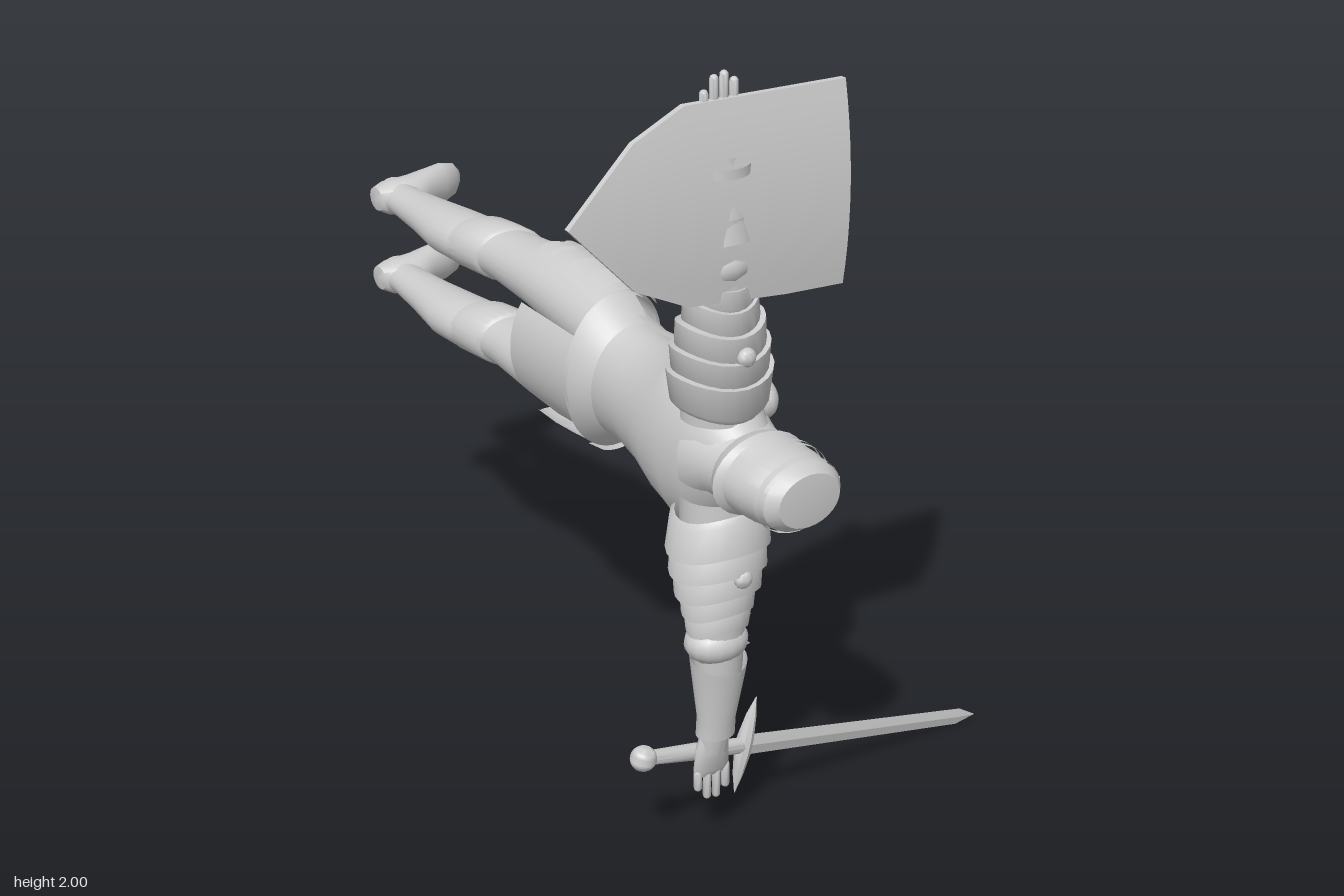
import * as THREE from 'three';
import { toCreasedNormals } from 'three/addons/utils/BufferGeometryUtils.js';

const material = new THREE.MeshStandardMaterial({ color: 0xcccccc, side: THREE.DoubleSide });

// Skin over elliptical rings. Row: [position on axis, centre1, centre2, radius1, radius2].
// Axis z uses (x, y) rings, axis y uses (x, z), axis x uses (y, z).
function loft(axis, rows, { n = 24, a0 = 0, a1 = Math.PI * 2, warp = () => 0 } = {}) {
  const pos = [], idx = [];
  rows.forEach(([t, c1, c2, r1, r2], j) => {
    for (let i = 0; i <= n; i++) {
      const a = a0 + (a1 - a0) * i / n;
      const u = c1 + r1 * Math.cos(a), w = r2 * Math.sin(a);
      const p = t + warp(a, j / (rows.length - 1));
      if (axis === 'z') pos.push(u, c2 + w, p);
      else if (axis === 'y') pos.push(u, p, c2 - w);
      else pos.push(p, u, c2 + w);
      if (i < n && j < rows.length - 1) {
        const k = j * (n + 1) + i, m = k + n + 1;
        idx.push(k, k + 1, m, k + 1, m + 1, m);
      }
    }
  });
  const g = new THREE.BufferGeometry();
  g.setAttribute('position', new THREE.Float32BufferAttribute(pos, 3));
  g.setIndex(idx);
  return g;
}

function mirrorY(geometry) {
  const g = geometry.index ? geometry.toNonIndexed() : geometry.clone();
  const p = g.attributes.position, v = new THREE.Vector3(), w = new THREE.Vector3();
  for (let i = 0; i < p.count; i += 3) {
    v.fromBufferAttribute(p, i + 1); w.fromBufferAttribute(p, i + 2);
    p.setXYZ(i + 1, w.x, w.y, w.z); p.setXYZ(i + 2, v.x, v.y, v.z);
  }
  for (let i = 0; i < p.count; i++) p.setY(i, -p.getY(i));
  return g;
}

function add(group, name, geometry, crease = 0.7) {
  const mesh = new THREE.Mesh(toCreasedNormals(geometry, crease), material);
  mesh.name = name;
  group.add(mesh);
  return mesh;
}

function pair(group, name, geometry, crease) {
  add(group, name + 'Left', geometry, crease);
  add(group, name + 'Right', mirrorY(geometry), crease);
}

const ball = (x, y, z, sx, sy, sz) => new THREE.SphereGeometry(1, 16, 12).scale(sx, sy, sz).translate(x, y, z);
const box = (x, y, z, sx, sy, sz) => new THREE.BoxGeometry(sx, sy, sz).translate(x, y, z);

// Torso, armour plates and cloth
function buildBody(g) {
  add(g, 'torso', loft('z', [
    [0.0, -0.165, 0, 0.001, 0.001], [0.01, -0.165, 0, 0.09, 0.15], [0.08, -0.17, 0, 0.115, 0.19], [0.15, -0.175, 0, 0.125, 0.18],
    [0.2, -0.18, 0, 0.12, 0.15], [0.3, -0.185, 0, 0.127, 0.145], [0.4, -0.19, 0, 0.14, 0.16],
    [0.48, -0.195, 0, 0.152, 0.2], [0.55, -0.2, 0, 0.145, 0.235], [0.62, -0.205, 0, 0.125, 0.215],
    [0.68, -0.21, 0, 0.1, 0.15], [0.75, -0.21, 0, 0.075, 0.08]], { n: 36 }));
  add(g, 'breastplate', loft('z', [
    [0.19, -0.18, 0, 0.14, 0.165], [0.26, -0.18, 0, 0.135, 0.152], [0.4, -0.19, 0, 0.152, 0.168],
    [0.48, -0.195, 0, 0.166, 0.205], [0.58, -0.2, 0, 0.145, 0.22]],
  { a0: -1.4, a1: 1.4, n: 28, warp: a => -0.09 * (1 - Math.abs(a) / 1.4) }));
  // Flared belt rim with its rear point
  add(g, 'beltRim', loft('z', [[0.13, -0.18, 0, 0.15, 0.205], [0.17, -0.18, 0, 0.142, 0.18], [0.21, -0.18, 0, 0.124, 0.15]],
    { a0: 1.2, a1: Math.PI * 2 - 1.2, n: 28 }));
  add(g, 'frontCloth', box(-0.052, 0, 0, 0.008, 0.22, 0.22));
  add(g, 'backCloth', loft('z', [[-0.12, -0.2, 0, 0.13, 0.17], [0.14, -0.2, 0, 0.13, 0.17]],
    { a0: Math.PI - 0.75, a1: Math.PI + 0.75, n: 12 }));
  add(g, 'gorget', loft('z', [[0.62, -0.205, 0, 0.13, 0.15], [0.69, -0.205, 0, 0.115, 0.1], [0.74, -0.205, 0, 0.11, 0.09]]));
  pair(g, 'collarPlate', ball(-0.1, 0.1, 0.61, 0.04, 0.055, 0.065));
}

// Tall flat-topped helmet
function buildHelmet(g) {
  add(g, 'helmet', loft('z', [
    [0.7, -0.205, 0, 0.08, 0.065], [0.74, -0.205, 0, 0.115, 0.09], [0.775, -0.21, 0, 0.132, 0.102],
    [0.79, -0.205, 0, 0.118, 0.095], [0.85, -0.203, 0, 0.118, 0.093], [0.925, -0.2, 0, 0.108, 0.083],
    [0.95, -0.197, 0, 0.085, 0.066], [0.958, -0.195, 0, 0.001, 0.001]], { n: 28 }), 0.6);
  add(g, 'crownBand', loft('z', [[0.9, -0.202, 0, 0.114, 0.09], [0.918, -0.202, 0, 0.113, 0.089]]));
  add(g, 'visorBand', loft('z', [[0.85, -0.203, 0, 0.126, 0.101], [0.862, -0.203, 0, 0.125, 0.1]], { a0: -1.3, a1: 1.3 }));
  add(g, 'visorBandLower', loft('z', [[0.825, -0.203, 0, 0.126, 0.101], [0.837, -0.203, 0, 0.126, 0.101]], { a0: -1.3, a1: 1.3 }));
  add(g, 'nosePlate', box(-0.085, 0, 0.845, 0.014, 0.018, 0.12));
}

// One arm, stretched out sideways, and its mirror
function buildArms(g) {
  pair(g, 'arm', loft('y', [
    [0.1, -0.22, 0.63, 0.1, 0.09], [0.25, -0.23, 0.64, 0.09, 0.08], [0.38, -0.235, 0.648, 0.075, 0.065],
    [0.48, -0.235, 0.65, 0.066, 0.06], [0.56, -0.235, 0.655, 0.06, 0.055], [0.72, -0.238, 0.652, 0.04, 0.036], [0.8, -0.24, 0.645, 0.036, 0.028]]));
  // Overlapping shoulder and upper-arm lames: [start, end, radius at start, radius at end]
  [[0.13, 0.225, 0.12, 0.13], [0.21, 0.285, 0.118, 0.122], [0.27, 0.345, 0.11, 0.108],
    [0.33, 0.4, 0.094, 0.09], [0.39, 0.45, 0.084, 0.078]].forEach(([s, e, r0, r1], i) => {
    pair(g, 'shoulderLame' + (i + 1), loft('y', [
      [s, -0.232, 0.645, r0 * 0.9, r0 * 0.78], [s + 0.015, -0.232, 0.645, r0, r0 * 0.88],
      [e, -0.235, 0.648, r1, r1 * 0.88], [e, -0.235, 0.648, r1 * 0.8, r1 * 0.7]],
    { warp: a => 0.012 * Math.cos(2 * a) }));
  });
  pair(g, 'shoulderRivet', ball(-0.23, 0.285, 0.745, 0.024, 0.024, 0.018));
  pair(g, 'elbowCop', ball(-0.24, 0.49, 0.652, 0.082, 0.055, 0.068));
  // Pointed wings on the elbow
  [-0.04, 0.035].forEach((dy, i) => pair(g, 'elbowWing' + (i + 1),
    new THREE.ConeGeometry(0.045, 0.1, 8).scale(1, 1, 0.7).rotateZ(-Math.PI / 2 - dy * 8).translate(-0.185, 0.49 - dy * 0.7, 0.65)));
  pair(g, 'vambrace', loft('y', [[0.535, -0.235, 0.655, 0.072, 0.066], [0.555, -0.235, 0.655, 0.07, 0.064],
    [0.7, -0.238, 0.653, 0.049, 0.043], [0.75, -0.238, 0.65, 0.05, 0.042]], { warp: (a, t) => (1 - t) * -0.02 * Math.sin(a) }));
  pair(g, 'palm', loft('y', [[0.75, -0.24, 0.645, 0.034, 0.026], [0.79, -0.241, 0.642, 0.046, 0.024],
    [0.85, -0.243, 0.64, 0.05, 0.02], [0.87, -0.243, 0.642, 0.04, 0.006]]));
  [0.905, 0.935, 0.94, 0.92].forEach((tip, i) => pair(g, 'finger' + (i + 1),
    new THREE.CapsuleGeometry(0.0105, tip - 0.865, 4, 8).translate(-0.283 + i * 0.027, (tip + 0.845) / 2, 0.643)));
  pair(g, 'thumb', new THREE.CapsuleGeometry(0.013, 0.06, 4, 8).rotateX(-0.5).translate(-0.2, 0.81, 0.608));
}

// One leg with thigh plate, knee and shoe, and its mirror
function buildLegs(g) {
  pair(g, 'leg', loft('z', [
    [-0.93, -0.205, 0.115, 0.05, 0.043], [-0.84, -0.205, 0.115, 0.052, 0.04], [-0.72, -0.205, 0.118, 0.064, 0.05],
    [-0.6, -0.205, 0.12, 0.082, 0.061], [-0.52, -0.195, 0.12, 0.085, 0.064], [-0.44, -0.175, 0.12, 0.078, 0.063],
    [-0.35, -0.165, 0.12, 0.086, 0.068], [-0.2, -0.16, 0.122, 0.098, 0.08], [-0.05, -0.16, 0.115, 0.106, 0.092],
    [0.12, -0.165, 0.1, 0.108, 0.09]]));
  pair(g, 'kneePlate', loft('z', [
    [-0.5, -0.185, 0.12, 0.088, 0.068], [-0.49, -0.183, 0.12, 0.094, 0.072], [-0.44, -0.174, 0.12, 0.094, 0.074],
    [-0.385, -0.167, 0.12, 0.092, 0.074], [-0.375, -0.167, 0.12, 0.084, 0.068]], { warp: a => 0.025 * Math.cos(a) }), 0.6);
  // Scalloped hip plate covering the outer thigh
  pair(g, 'tasset', loft('z', [
    [-0.14, -0.165, 0.115, 0.12, 0.115], [-0.06, -0.165, 0.115, 0.12, 0.118],
    [0.03, -0.165, 0.11, 0.12, 0.115], [0.13, -0.172, 0.06, 0.125, 0.15]],
  { a0: 0.05, a1: 2.15, n: 40, warp: (a, t) => (1 - t) * (0.03 - 0.05 * Math.sin(a) - 0.02 * Math.abs(Math.sin(a * 4.5))) }));
  [-0.11, -0.02, 0.06].forEach((z, i) => pair(g, 'tassetLame' + (i + 1), loft('z', [
    [z, -0.165, 0.113, 0.126, 0.122], [z + 0.06, -0.167, 0.105, 0.12, 0.12]],
  { a0: 0.3, a1: 1.95, n: 30, warp: (a, t) => (1 - t) * -0.015 * Math.abs(Math.sin(a * 4.5)) })));
  pair(g, 'shoe', loft('x', [
    [-0.268, 0.115, -0.91, 0.001, 0.001], [-0.262, 0.115, -0.91, 0.032, 0.035], [-0.235, 0.115, -0.9, 0.045, 0.055],
    [-0.16, 0.114, -0.9, 0.048, 0.057], [-0.12, 0.113, -0.91, 0.052, 0.046], [-0.06, 0.112, -0.92, 0.057, 0.038],
    [-0.015, 0.112, -0.93, 0.045, 0.027], [0.005, 0.112, -0.937, 0.022, 0.014], [0.01, 0.112, -0.94, 0.001, 0.001]]));
}

// Pointed shield, bent across its height, with arm straps
function buildShield() {
  const g = new THREE.Group();
  g.name = 'shield';
  const top = [[0.08, 1.93], [-0.1, 1.935], [-0.34, 1.942], [-0.48, 1.885], [-0.66, 1.73]];
  const bottom = [[0.055, 1.45], [-0.1, 1.458], [-0.36, 1.485], [-0.5, 1.555], [-0.66, 1.73]];
  const n = 10, thick = 0.015, pos = [], idx = [];
  for (const side of [0, 1]) {
    top.forEach(([x1, y1], i) => {
      const [x0, y0] = bottom[i];
      for (let j = 0; j <= n; j++) {
        const x = x0 + (x1 - x0) * j / n, y = y0 + (y1 - y0) * j / n;
        pos.push(x, y, 0.73 - 0.42 * (y - 1.58) ** 2 - 0.04 * (0.08 - x) / 0.74 - side * thick);
      }
    });
  }
  const at = (s, i, j) => (s * top.length + i) * (n + 1) + j;
  const quad = (a, b, c, d) => idx.push(a, b, c, a, c, d);
  for (let i = 0; i < top.length - 1; i++) {
    for (let j = 0; j < n; j++) {
      quad(at(0, i, j), at(0, i, j + 1), at(0, i + 1, j + 1), at(0, i + 1, j));
      quad(at(1, i, j), at(1, i + 1, j), at(1, i + 1, j + 1), at(1, i, j + 1));
    }
    quad(at(0, i, 0), at(0, i + 1, 0), at(1, i + 1, 0), at(1, i, 0));
    quad(at(0, i, n), at(1, i, n), at(1, i + 1, n), at(0, i + 1, n));
  }
  for (let j = 0; j < n; j++) quad(at(0, 0, j), at(1, 0, j), at(1, 0, j + 1), at(0, 0, j + 1));
  const plate = new THREE.BufferGeometry();
  plate.setAttribute('position', new THREE.Float32BufferAttribute(pos, 3));
  plate.setIndex(idx);
  add(g, 'shieldPlate', plate);
  [1.66, 1.78].forEach((y, i) => add(g, 'armStrap' + (i + 1),
    loft('y', [[y - 0.012, -0.238, 0.655, 0.068, 0.058], [y + 0.012, -0.238, 0.655, 0.068, 0.058]])));
  return g;
}

// Sword built along x from the pommel, then aimed at its tip
function buildSword() {
  const g = new THREE.Group();
  g.name = 'sword';
  const start = new THREE.Vector3(-0.43, 0.29, 0.625), tip = new THREE.Vector3(0.655, 0.008, 0.56);
  const length = start.distanceTo(tip);
  add(g, 'pommel', ball(0, 0, 0, 0.034, 0.032, 0.032));
  add(g, 'grip', loft('x', [[0.02, 0, 0, 0.018, 0.018], [0.16, 0, 0, 0.022, 0.02], [0.32, 0, 0, 0.02, 0.018]], { n: 12 }));
  add(g, 'crossguard', loft('y', [[-0.13, 0.325, 0, 0.001, 0.001], [-0.08, 0.322, 0, 0.012, 0.014],
    [-0.02, 0.32, 0, 0.02, 0.022], [0.02, 0.32, 0, 0.02, 0.022], [0.08, 0.322, 0, 0.012, 0.014], [0.13, 0.325, 0, 0.001, 0.001]], { n: 8 }));
  add(g, 'blade', loft('x', [[0.32, 0, 0, 0.028, 0.007], [length - 0.06, 0, 0, 0.022, 0.005], [length, 0, 0, 0.001, 0.001]], { n: 4 }), 0.1);
  const x = tip.clone().sub(start).normalize();
  const z = new THREE.Vector3().crossVectors(x, new THREE.Vector3(0, 1, 0)).normalize();
  const y = new THREE.Vector3().crossVectors(z, x);
  g.quaternion.setFromRotationMatrix(new THREE.Matrix4().makeBasis(x, y, z));
  g.position.copy(start);
  return g;
}

export function createModel() {
  const model = new THREE.Group();
  model.name = 'armouredKnight';
  const figure = new THREE.Group();
  figure.name = 'figure';
  figure.position.y = 1.06;
  [buildBody, buildHelmet, buildArms, buildLegs].forEach(build => build(figure));
  model.add(figure, buildShield(), buildSword());
  return model;
}
